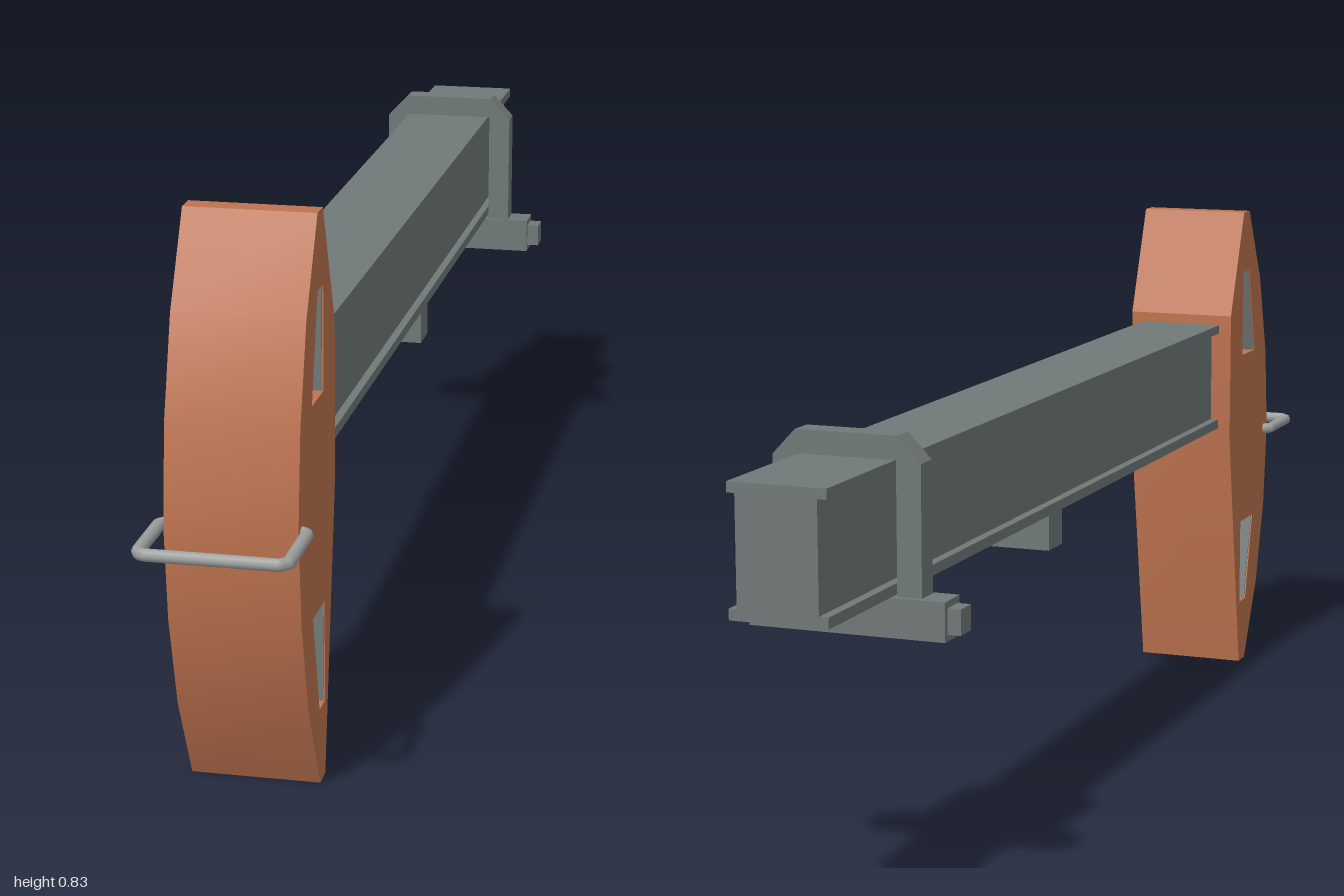
import * as THREE from 'three';
import { toCreasedNormals } from 'three/addons/utils/BufferGeometryUtils.js';

const copper = new THREE.MeshStandardMaterial({ color: 0xbe734f });
copper.name = 'copper';
const steel = new THREE.MeshStandardMaterial({ color: 0x707878 });
steel.name = 'steel';
const brightSteel = new THREE.MeshStandardMaterial({ color: 0x9e9f9f });
brightSteel.name = 'brightSteel';

const vecs = (pts) => pts.map(([a, b]) => new THREE.Vector2(a, b));

function add(parent, name, geometry, material, x = 0, y = 0, z = 0) {
  const mesh = new THREE.Mesh(geometry, material);
  mesh.name = name;
  mesh.position.set(x, y, z);
  parent.add(mesh);
  return mesh;
}

// Box given by its limits on each axis
function box(parent, name, material, [x0, x1], [y0, y1], [z0, z1]) {
  return add(parent, name, new THREE.BoxGeometry(x1 - x0, y1 - y0, z1 - z0), material,
    (x0 + x1) / 2, (y0 + y1) / 2, (z0 + z1) / 2);
}

export function createModel() {
  const model = new THREE.Group();
  model.name = 'beamWithBumper';
  const cx = -0.002;

  // Curved head: side profile (z, y) with two openings, extruded across x
  const head = new THREE.Group();
  head.name = 'head';
  model.add(head);
  const profile = new THREE.Shape(vecs([
    [0.727, 0], [0.76, 0], [0.83, 0.136], [0.87, 0.278], [0.885, 0.42], [0.87, 0.565],
    [0.83, 0.705], [0.76, 0.835], [0.727, 0.835], [0.655, 0.655], [0.655, 0.43],
  ]));
  const openings = [
    [[0.727, 0.575], [0.8, 0.575], [0.762, 0.727], [0.727, 0.727]],
    [[0.727, 0.265], [0.8, 0.265], [0.762, 0.113], [0.727, 0.113]],
  ];
  openings.forEach((o) => profile.holes.push(new THREE.Path(vecs(o))));
  const width = 0.188;
  const headGeo = new THREE.ExtrudeGeometry(profile, { depth: width, bevelEnabled: false });
  headGeo.translate(0, 0, -width / 2);
  headGeo.rotateY(-Math.PI / 2);
  add(head, 'headBody', toCreasedNormals(headGeo, 0.3), copper, cx);

  // Steel linings on the front and back walls of each opening
  openings.forEach((o) => {
    [[o[1], o[2]], [o[3], o[0]]].forEach(([a, b]) => {
      const dz = b[0] - a[0], dy = b[1] - a[1];
      const lining = add(head, 'openingLining',
        new THREE.BoxGeometry(width - 0.004, Math.hypot(dz, dy), 0.004), steel,
        cx, (a[1] + b[1]) / 2, (a[0] + b[0]) / 2);
      lining.rotation.x = Math.atan2(dz, dy);
    });
  });

  // Beam: wide web between two thin flanges
  const beam = new THREE.Group();
  beam.name = 'beam';
  model.add(beam);
  box(beam, 'web', steel, [-0.06, 0.06], [0.46, 0.63], [-1, 0.66]);
  box(beam, 'topFlange', steel, [-0.074, 0.072], [0.623, 0.638], [-1, 0.66]);
  box(beam, 'bottomFlange', steel, [-0.074, 0.072], [0.45, 0.466], [-1, 0.66]);
  box(model, 'undersideBlock', steel, [-0.067, 0.067], [0.39, 0.452], [-0.18, -0.122]);

  // Clamp: chamfered strap over the beam, held by a crossbar below
  const clamp = new THREE.Group();
  clamp.name = 'clamp';
  model.add(clamp);
  const strap = new THREE.Shape(vecs([
    [-0.112, 0.43], [-0.075, 0.43], [-0.075, 0.638], [0.075, 0.638], [0.075, 0.43],
    [0.112, 0.43], [0.112, 0.635], [0.077, 0.672], [-0.077, 0.672], [-0.112, 0.635],
  ]));
  add(clamp, 'strap', new THREE.ExtrudeGeometry(strap, { depth: 0.038, bevelEnabled: false }),
    steel, 0, 0, -0.781);
  box(clamp, 'crossbar', steel, [-0.15, 0.148], [0.39, 0.447], [-0.79, -0.738]);
  box(clamp, 'crossbarCore', steel, [-0.17, 0.168], [0.4, 0.437], [-0.782, -0.746]);

  // Handle: bent rod with its ends set into the sides of the head
  const path = new THREE.CurvePath();
  const bends = [
    [-0.085, 0.866], [-0.096, 0.866], [-0.103, 0.873], [-0.103, 0.98], [-0.093, 0.99],
    [0.093, 0.99], [0.103, 0.98], [0.103, 0.873], [0.096, 0.866], [0.085, 0.866],
  ].map(([x, z]) => new THREE.Vector3(x + cx, 0.417, z));
  for (let i = 1; i < bends.length; i++) path.add(new THREE.LineCurve3(bends[i - 1], bends[i]));
  add(model, 'handle', new THREE.TubeGeometry(path, 160, 0.0095, 8, false), brightSteel);

  return model;
}
